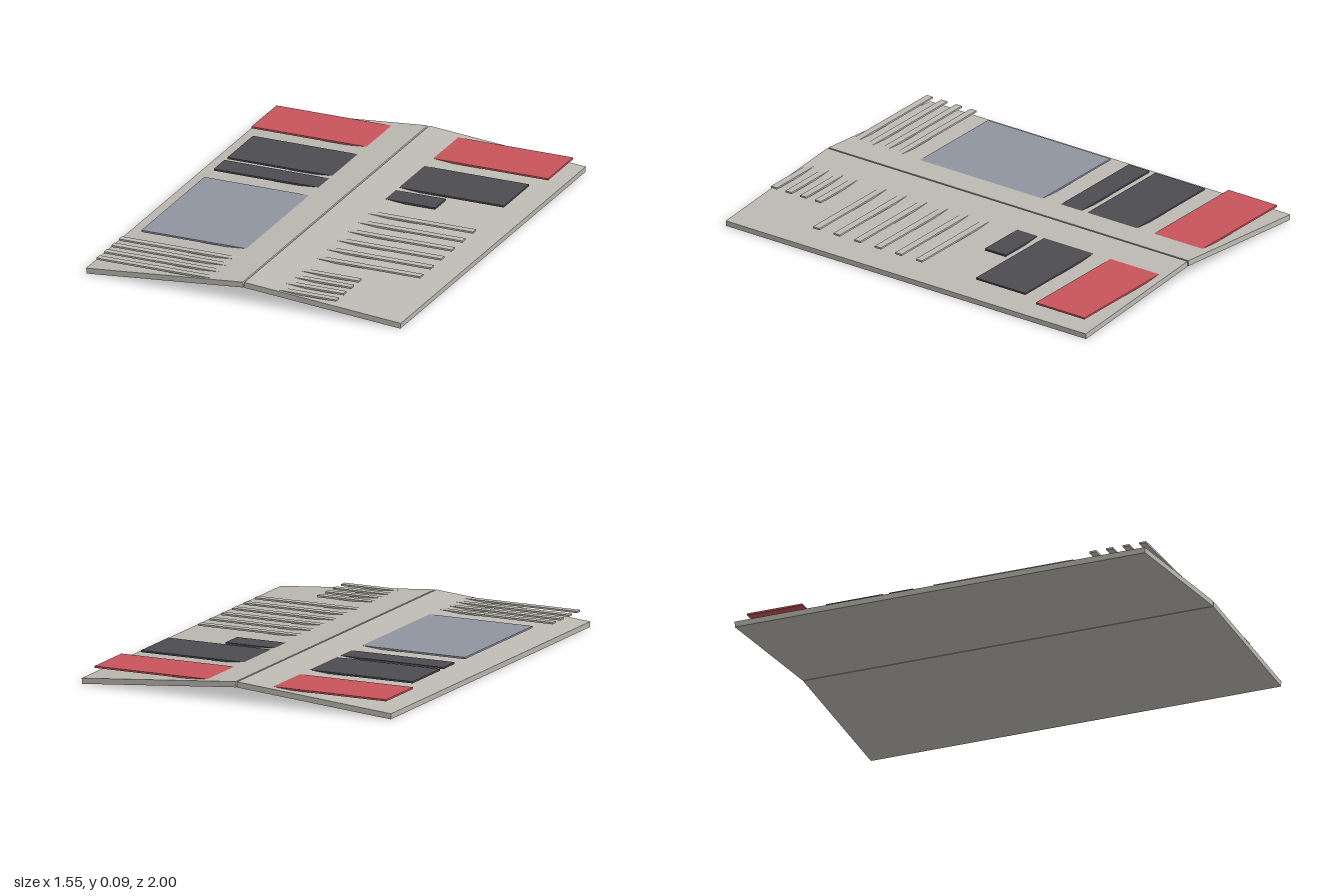
import * as THREE from 'three';

const mat = (name, color) => {
  const m = new THREE.MeshStandardMaterial({ color });
  m.name = name;
  return m;
};

export function createModel() {
  const model = new THREE.Group();
  model.name = 'openNewspaper';
  const paper = mat('paper', 0xbcbab2);
  const red = mat('red', 0xc8545a);
  const dark = mat('charcoal', 0x4d4c51);
  const blue = mat('slateBlue', 0x9094a0);

  // Two pages sloping down from the fold
  const tilt = 0.0848, thick = 0.026, width = 0.773;
  for (const side of [1, -1]) {
    const page = new THREE.Mesh(new THREE.BoxGeometry(width, thick, 2), paper);
    page.geometry.translate(side * width / 2, thick / 2, 0);
    page.name = side > 0 ? 'leftPage' : 'rightPage';
    page.rotation.z = -side * tilt;
    page.position.set(side * 0.002, 0.0655, 0);
    model.add(page);
  }

  // Flat printed blocks, given by their extents in x and z
  const bottom = 0.0695, top = 0.0778;
  const plate = (name, material, x0, x1, z0, z1) => {
    const mesh = new THREE.Mesh(new THREE.BoxGeometry(x1 - x0, top - bottom, z1 - z0), material);
    mesh.name = name;
    mesh.position.set((x0 + x1) / 2, (top + bottom) / 2, (z0 + z1) / 2);
    model.add(mesh);
  };

  // Banners and headlines
  plate('leftBanner', red, 0.05, 0.73, -0.96, -0.69);
  plate('rightBanner', red, -0.73, -0.05, -0.96, -0.69);
  plate('leftHeadline', dark, 0.1, 0.68, -0.595, -0.32);
  plate('rightHeadline', dark, -0.68, -0.1, -0.595, -0.32);
  plate('leftSubheading', dark, 0.1, 0.41, -0.287, -0.172);
  plate('rightSubheading', dark, -0.68, -0.1, -0.287, -0.172);
  plate('picture', blue, -0.68, -0.1, -0.07, 0.61);

  // Column of rows on the left page
  for (let i = 0; i < 6; i++) {
    const z = -0.004 + i * 0.1142;
    plate('columnRow', paper, 0.1, 0.68, z - 0.0175, z + 0.0175);
  }
  // Footer rows on both pages
  for (let i = 0; i < 4; i++) {
    const z = 0.727 + i * 0.081;
    plate('rightFooterRow', paper, -0.73, -0.05, z - 0.0165, z + 0.0165);
    plate('leftFooterRow', paper, 0.05, 0.45, z - 0.0165, z + 0.0165);
  }
  return model;
}
